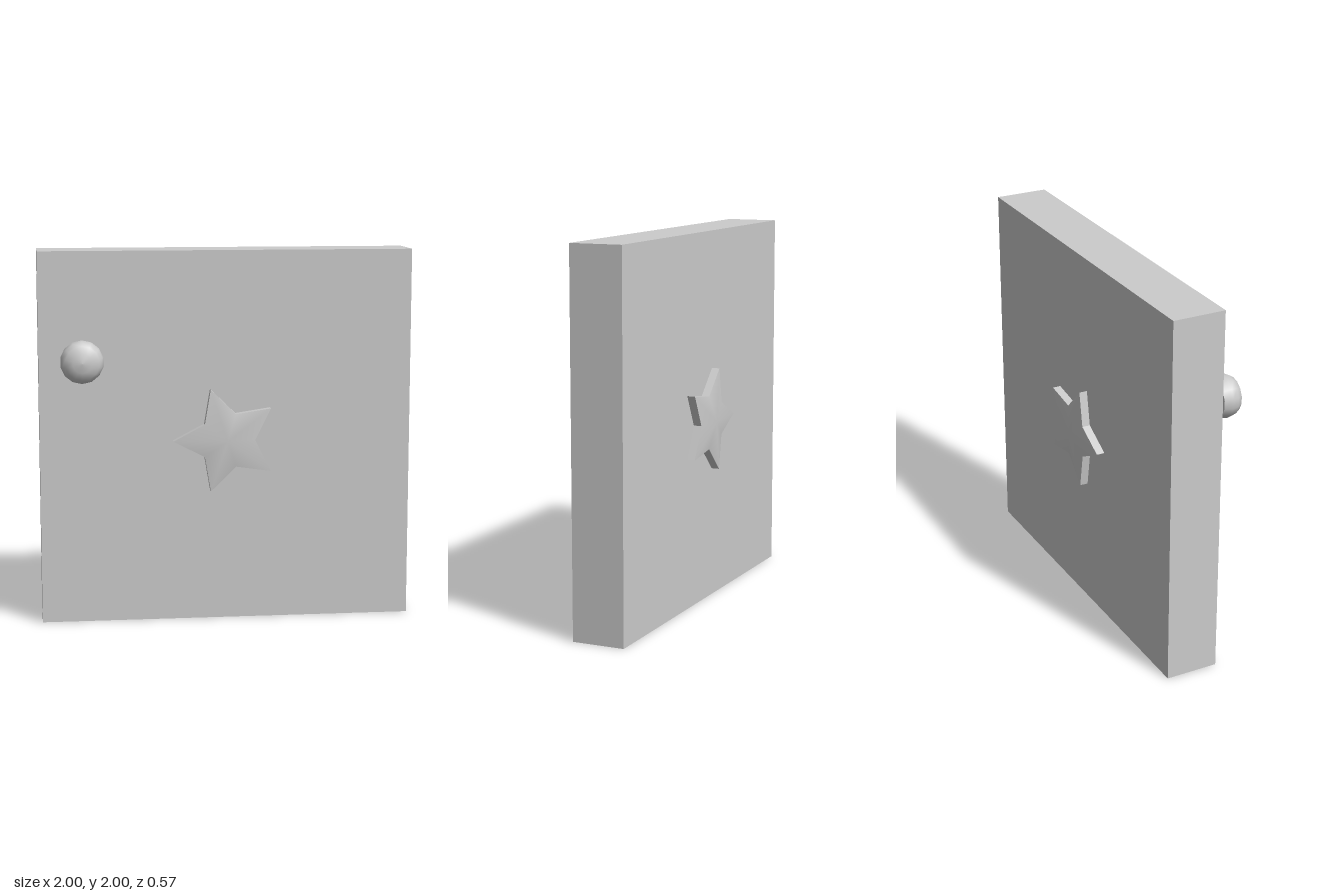
import * as THREE from 'three';

const grey = new THREE.MeshStandardMaterial({ color: 0xcccccc });

function addMesh(parent, name, geometry) {
  const mesh = new THREE.Mesh(geometry, grey);
  mesh.name = name;
  parent.add(mesh);
  return mesh;
}

// Corners of the five-pointed star, counter-clockwise, one tip towards -x
function starCorners(outer, inner) {
  return Array.from({ length: 10 }, (_, i) => {
    const a = Math.PI + (i * Math.PI) / 5;
    const r = i % 2 ? inner : outer;
    return [r * Math.cos(a), r * Math.sin(a)];
  });
}

// Shallow smooth cap: a fan from the raised centre to the star outline
function starCap(corners, height) {
  const positions = [0, 0, height];
  const index = [];
  corners.forEach(([x, y], i) => {
    positions.push(x, y, 0);
    index.push(0, i + 1, ((i + 1) % corners.length) + 1);
  });
  const geometry = new THREE.BufferGeometry();
  geometry.setAttribute('position', new THREE.Float32BufferAttribute(positions, 3));
  geometry.setIndex(index);
  geometry.computeVertexNormals();
  return geometry;
}

// Straight flat-sided rim of the star, from z = -depth to z = 0
function starRim(corners, depth) {
  const positions = [];
  corners.forEach(([x, y], i) => {
    const [u, v] = corners[(i + 1) % corners.length];
    positions.push(x, y, -depth, u, v, -depth, u, v, 0);
    positions.push(x, y, -depth, u, v, 0, x, y, 0);
  });
  const geometry = new THREE.BufferGeometry();
  geometry.setAttribute('position', new THREE.Float32BufferAttribute(positions, 3));
  geometry.computeVertexNormals();
  return geometry;
}

// Turned part along the z axis from [radius, z] pairs
function turned(profile) {
  const points = profile.map(([r, z]) => new THREE.Vector2(r, z));
  return new THREE.LatheGeometry(points, 14).rotateX(Math.PI / 2);
}

export function createModel() {
  const model = new THREE.Group();
  model.name = 'door';

  // Square door slab
  const midZ = -0.074;
  const thickness = 0.284;
  addMesh(model, 'panel', new THREE.BoxGeometry(2, 2, thickness)).position.set(0, 1, midZ);

  // Matching raised stars on both faces
  const corners = starCorners(0.29, 0.15);
  for (const side of [1, -1]) {
    const star = new THREE.Group();
    star.name = side > 0 ? 'frontStar' : 'backStar';
    addMesh(star, 'starCap', starCap(corners, 0.025));
    addMesh(star, 'starRim', starRim(corners, 0.05));
    star.position.set(0, 0.985, midZ + side * 0.186);
    // Turn over the tip axis so the back star keeps the same outline
    if (side < 0) star.rotation.x = Math.PI;
    model.add(star);
  }

  // Round knob on a short stem
  const knob = new THREE.Group();
  knob.name = 'knob';
  addMesh(knob, 'knobStem', turned([[0.077, 0.06], [0.077, 0.16]]));
  addMesh(knob, 'knobBase', turned([[0.07, 0.153], [0.104, 0.153]]));
  addMesh(knob, 'knobHead', turned([
    [0.104, 0.153], [0.115, 0.2], [0.108, 0.232], [0.09, 0.26], [0.05, 0.28], [0, 0.285],
  ]));
  knob.position.set(-0.775, 1.43, 0);
  model.add(knob);

  return model;
}
